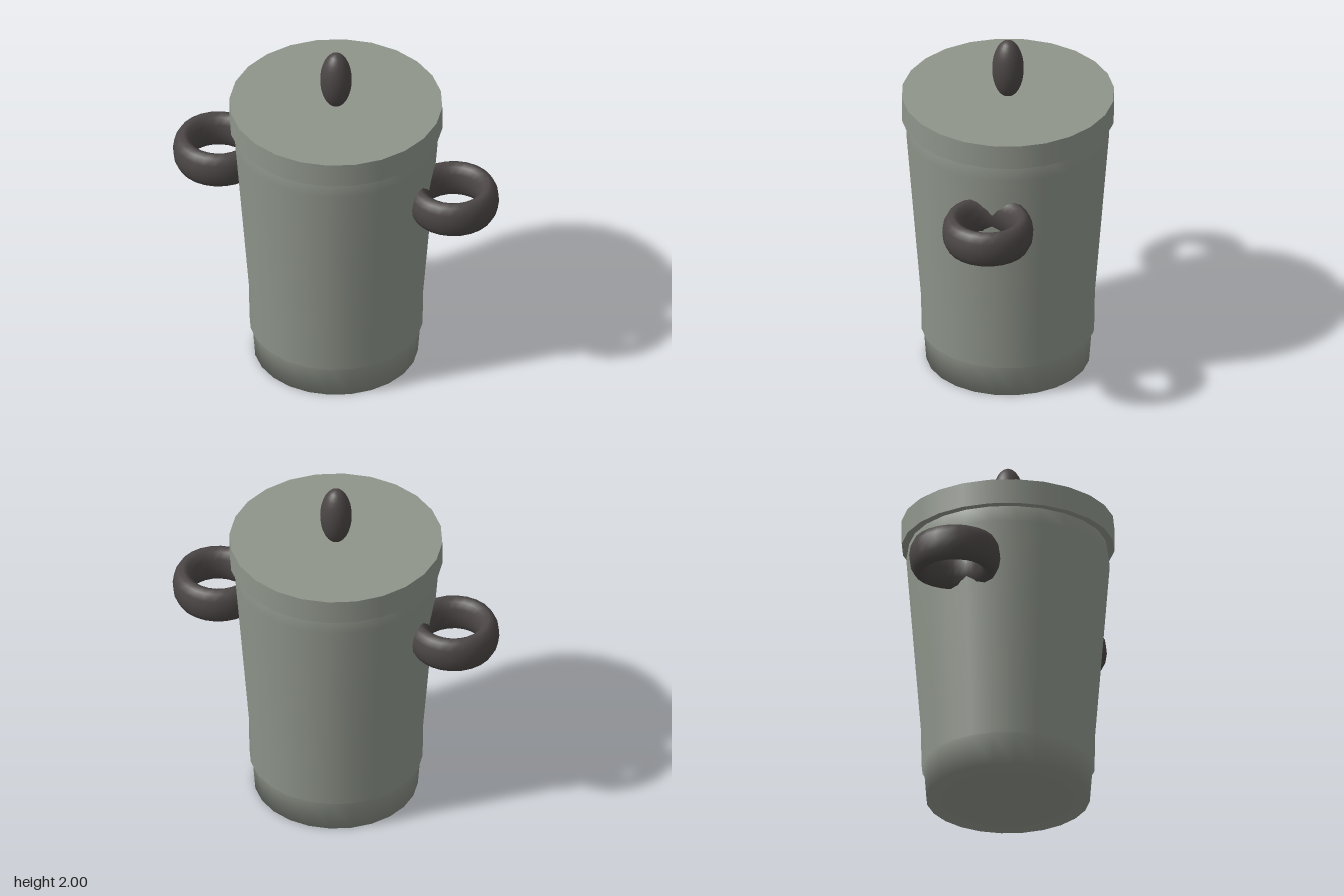
import * as THREE from 'three';

export function createModel() {
  const model = new THREE.Group();
  const metal = new THREE.MeshStandardMaterial({ color: 0x8f958b });
  metal.name = 'greyGreenMetal';
  const dark = new THREE.MeshStandardMaterial({ color: 0x4c4646 });
  dark.name = 'darkGrip';

  const add = (name, geometry, material, x = 0, y = 0) => {
    const mesh = new THREE.Mesh(geometry, material);
    mesh.name = name;
    mesh.position.set(x, y, 0);
    model.add(mesh);
    return mesh;
  };

  // Tapered bin with a stepped foot, a rounded shoulder and a closed bottom
  const profile = [
    [0, 0], [0.452, 0], [0.466, 0.185], [0.478, 0.188],
    [0.481, 0.4], [0.562, 1.43], [0.545, 1.53],
  ].map(([r, y]) => new THREE.Vector2(r, y));
  add('body', new THREE.LatheGeometry(profile, 24), metal);

  // Flat disc lid
  add('lid', new THREE.CylinderGeometry(0.587, 0.587, 0.143, 24), metal, 0, 1.5965);

  // Tall oval knob
  const knob = new THREE.SphereGeometry(1, 24, 16);
  knob.scale(0.087, 0.175, 0.087);
  add('knob', knob, dark, 0, 1.825);

  // Ring handles, lying flat and stretched upwards
  const ring = new THREE.TorusGeometry(0.196, 0.056, 12, 24);
  ring.rotateX(Math.PI / 2);
  ring.scale(1, 1.9, 1);
  for (const [name, side] of [['leftHandle', 1], ['rightHandle', -1]]) {
    add(name, ring, dark, side * 0.686, 1.18);
  }
  return model;
}
